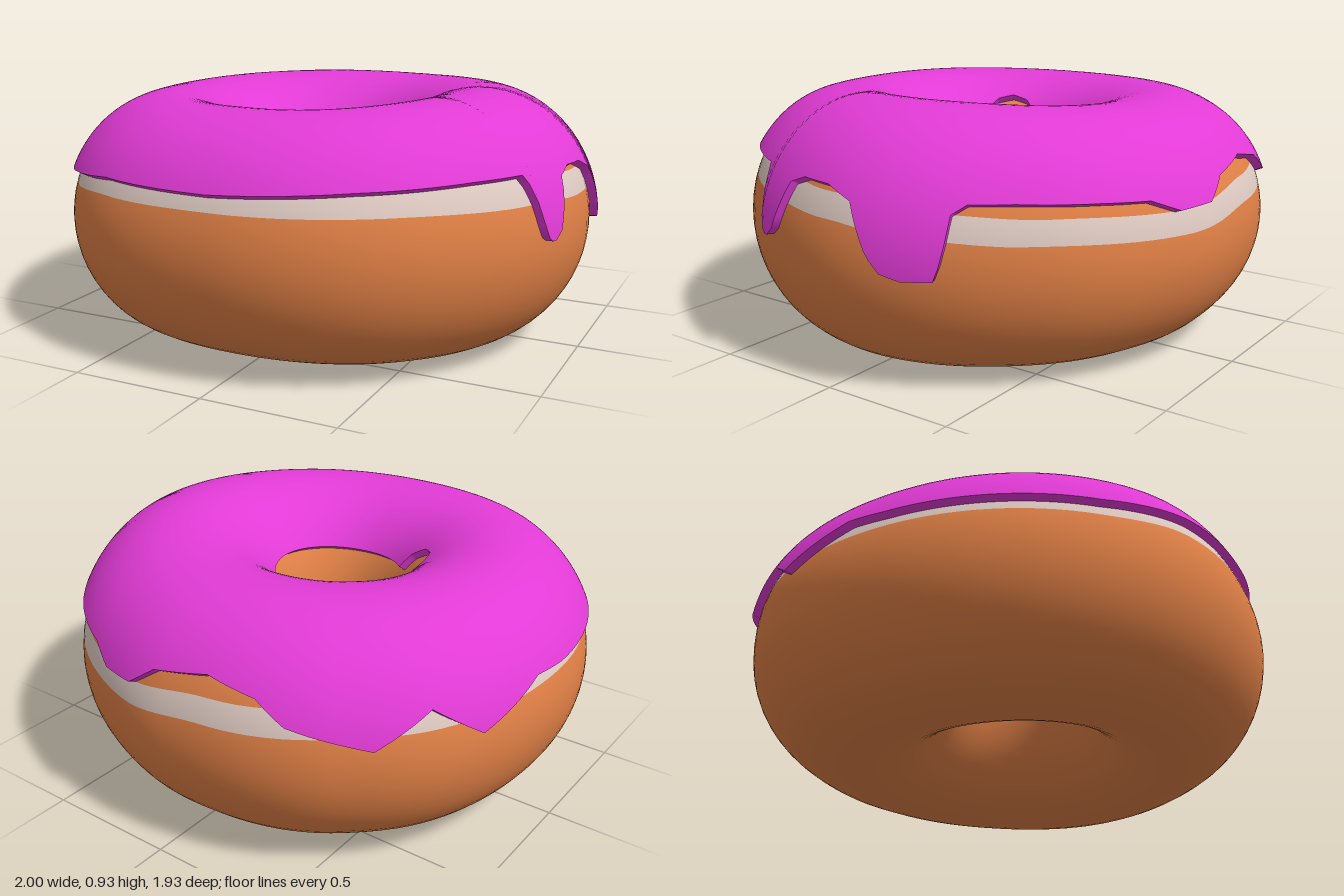
import * as THREE from 'three';
import { ParametricGeometry } from 'three/addons/geometries/ParametricGeometry.js';

const HOLE = 0.205;   // hole radius
const THICK = 0.03;   // icing thickness
const rad = THREE.MathUtils.degToRad;

// Periodic lookup of [degrees, value] keys around the ring
function keyed(keys, smooth = false) {
  const first = keys[0], last = keys[keys.length - 1];
  const all = [[last[0] - 360, last[1]], ...keys, [first[0] + 360, first[1]]];
  return (deg) => {
    const d = ((deg % 360) + 360) % 360;
    let i = 0;
    while (i < all.length - 2 && all[i + 1][0] < d) i++;
    let k = (d - all[i][0]) / (all[i + 1][0] - all[i][0]);
    if (smooth) k = k * k * (3 - 2 * k);
    return all[i][1] + (all[i + 1][1] - all[i][1]) * k;
  };
}

// Shape of the ring: angles run from +x towards the back (-z)
const outerRadius = keyed([[0, 1.0], [43, 0.957], [68, 0.955], [90, 0.968], [127, 1.005], [145, 1.015],
  [180, 0.995], [234, 1.005], [270, 0.965], [315, 0.973]], true);
const topHeight = keyed([[0, 0.9], [90, 0.868], [180, 0.858], [270, 0.87]], true);
const bottomHeight = keyed([[0, 0.003], [90, 0.008], [180, 0.025], [270, 0.032]], true);

// Heights of the pale band
const bandLow = keyed([[0, 0.585], [17, 0.555], [40, 0.535], [78, 0.515], [101, 0.55], [135, 0.57],
  [180, 0.585], [222, 0.585], [243, 0.61], [270, 0.615], [308, 0.618], [340, 0.605]], true);
const bandHigh = keyed([[0, 0.67], [20, 0.635], [45, 0.615], [78, 0.595], [101, 0.635], [135, 0.66],
  [180, 0.68], [270, 0.705], [308, 0.69], [340, 0.695]], true);

// Height of the icing's dripping outer edge
const icingEdge = keyed([[0, 0.7], [6, 0.66], [10.4, 0.5], [13, 0.445], [17, 0.425], [23, 0.43], [24.5, 0.5],
  [26, 0.64], [29, 0.67], [38, 0.67], [55, 0.66], [66, 0.65], [73, 0.605], [82, 0.61], [88, 0.68], [101, 0.715],
  [112, 0.68], [118, 0.61], [134, 0.54], [145, 0.65], [155, 0.54], [171, 0.64], [180, 0.63], [222, 0.635],
  [243, 0.675], [270, 0.675], [300, 0.7], [325, 0.71], [337.5, 0.71], [339, 0.62], [340.5, 0.5],
  [342.5, 0.475], [345, 0.51], [349, 0.68], [353, 0.705]]);
// Cross-section angle of the icing's inner edge, with one bare patch
const icingInner = keyed([[0, 146], [183, 146], [188, 136], [197, 128], [207, 125], [217, 128],
  [226, 136], [231, 146]]);

// Point on the ring: deg around it, t around the cross-section, off outward
function ringPoint(deg, t, off, target) {
  const R = outerRadius(deg), top = topHeight(deg), bottom = bottomHeight(deg);
  const r = (R + HOLE) / 2 + ((R - HOLE) / 2 + off) * Math.cos(t);
  const y = (top + bottom) / 2 + ((top - bottom) / 2 + off) * Math.sin(t);
  const shift = (R - r) / (R - HOLE); // the hole sits slightly off centre
  const a = rad(deg);
  target.set(r * Math.cos(a) - 0.02 * shift, y, -r * Math.sin(a) + 0.035 * shift);
}

// Cross-section angle on the outer side at a given height
function angleAt(deg, height, off = 0) {
  const top = topHeight(deg), bottom = bottomHeight(deg);
  return Math.asin((height - (top + bottom) / 2) / ((top - bottom) / 2 + off));
}

// Surface between two cross-section angles and two offsets
function strip(from, to, offFrom, offTo, slices, stacks) {
  return new ParametricGeometry((u, v, target) => {
    const deg = u * 360, t0 = from(deg), t1 = to(deg);
    ringPoint(deg, t0 + (t1 - t0) * v, offFrom + (offTo - offFrom) * v, target);
  }, slices, stacks);
}

export function createModel() {
  const dough = new THREE.MeshStandardMaterial({ color: 0xe08046 });
  dough.name = 'dough';
  const pale = new THREE.MeshStandardMaterial({ color: 0xdecac2 });
  pale.name = 'paleDough';
  const pink = new THREE.MeshStandardMaterial({ color: 0xe23bd6, side: THREE.DoubleSide });
  pink.name = 'icing';

  const model = new THREE.Group();
  model.name = 'donut';
  const add = (name, geometry, material) => {
    const mesh = new THREE.Mesh(geometry, material);
    mesh.name = name;
    model.add(mesh);
  };

  const low = (d) => angleAt(d, bandLow(d));
  const high = (d) => angleAt(d, bandHigh(d));
  const edge = (d) => angleAt(d, icingEdge(d), THICK);
  const inner = (d) => rad(icingInner(d));

  // Dough ring with its pale band
  add('lowerDough', strip(() => -Math.PI, low, 0, 0, 120, 32), dough);
  add('paleBand', strip(low, high, 0, 0, 120, 4), pale);
  add('upperDough', strip(high, () => Math.PI, 0, 0, 120, 24), dough);

  // Icing shell with rims closing it against the dough
  add('icing', strip(edge, inner, THICK, THICK, 360, 32), pink);
  add('icingOuterRim', strip(edge, edge, 0, THICK, 360, 1), pink);
  add('icingInnerRim', strip(inner, inner, THICK, 0, 360, 1), pink);

  return model;
}
